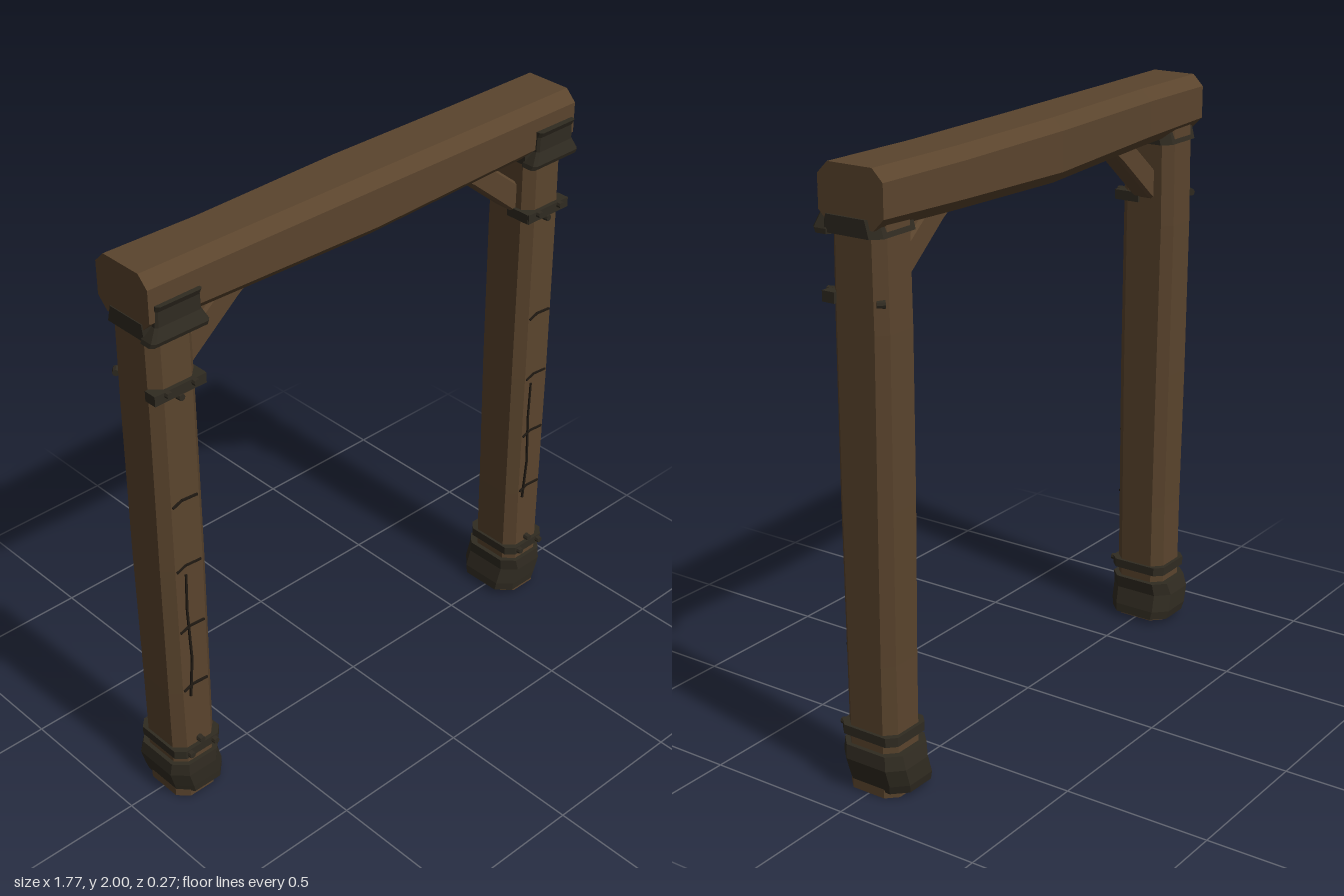
import * as THREE from 'three';

const wood = new THREE.MeshStandardMaterial({ color: 0x5a442d, flatShading: true });
wood.name = 'wood';
const iron = new THREE.MeshStandardMaterial({ color: 0x302b21, flatShading: true });
iron.name = 'darkIron';
const crackDark = new THREE.MeshStandardMaterial({ color: 0x1f1912 });
crackDark.name = 'crackDark';

// Chamfered bar lofted along y; each section is [y, xMin, xMax, zMin, zMax, chamfer]
function loft(sections) {
  const rings = sections.map(([y, x0, x1, z0, z1, c]) => [
    [x1, z0 + c], [x1, z1 - c], [x1 - c, z1], [x0 + c, z1],
    [x0, z1 - c], [x0, z0 + c], [x0 + c, z0], [x1 - c, z0],
  ].map(([x, z]) => [x, y, z]));
  const pos = [];
  const tri = (...pts) => pts.forEach((p) => pos.push(...p));
  for (let r = 0; r < rings.length - 1; r++) {
    const lo = rings[r], hi = rings[r + 1];
    for (let i = 0; i < 8; i++) {
      const j = (i + 1) % 8;
      tri(lo[i], hi[i], hi[j]);
      tri(lo[i], hi[j], lo[j]);
    }
  }
  const bottom = rings[0], top = rings[rings.length - 1];
  for (let i = 1; i < 7; i++) {
    tri(bottom[0], bottom[i], bottom[i + 1]);
    tri(top[0], top[i + 1], top[i]);
  }
  const g = new THREE.BufferGeometry();
  g.setAttribute('position', new THREE.Float32BufferAttribute(pos, 3));
  g.computeVertexNormals();
  return g;
}

function add(parent, name, geometry, material, x = 0, y = 0, z = 0) {
  const m = new THREE.Mesh(geometry, material);
  m.name = name;
  m.position.set(x, y, z);
  parent.add(m);
  return m;
}

// Thin dark line between two points on the front of a post
function crack(parent, x0, y0, x1, y1) {
  const len = Math.hypot(x1 - x0, y1 - y0);
  const m = add(parent, 'crack', new THREE.BoxGeometry(len, 0.007, 0.009), crackDark,
    (x0 + x1) / 2, (y0 + y1) / 2, 0.1);
  m.rotation.z = Math.atan2(y1 - y0, x1 - x0);
}

function bolt(parent, x, y, z, turn = 0) {
  const g = new THREE.CylinderGeometry(0.011, 0.013, 0.025, 8).rotateX(Math.PI / 2);
  add(parent, 'bolt', g, iron, x, y, z).rotation.y = turn;
}

// One post with its ironwork; s is +1 for the left side, -1 for the right
function makePost(s) {
  const post = new THREE.Group();
  post.name = s > 0 ? 'leftPost' : 'rightPost';
  post.position.x = s * 0.78;

  add(post, 'postTimber', loft([
    [0, -0.083, 0.083, -0.095, 0.098, 0.035],
    [0.45, -0.086, 0.084, -0.094, 0.098, 0.033],
    [0.95, -0.088, 0.086, -0.1, 0.1, 0.033],
    [1.5, -0.084, 0.086, -0.105, 0.097, 0.032],
    [1.85, -0.084, 0.084, -0.1, 0.094, 0.032],
  ]), wood);

  // Bulging iron shoe around the foot
  const shoe = [
    [0.02, -0.08, 0.115, -0.125, 0.108, 0.045],
    [0.05, -0.088, 0.112, -0.132, 0.112, 0.045],
    [0.11, -0.105, 0.095, -0.13, 0.115, 0.045],
    [0.155, -0.098, 0.1, -0.118, 0.112, 0.04],
  ].map(([y, a, b, ...rest]) => (s > 0 ? [y, -b, -a, ...rest] : [y, a, b, ...rest]));
  add(post, 'footShoe', loft(shoe), iron);

  // Lower band all around, upper strap across the front
  add(post, 'lowerBand', loft([
    [0.187, -0.094, 0.094, -0.107, 0.112, 0.028],
    [0.218, -0.094, 0.094, -0.107, 0.112, 0.028],
  ]), iron);
  add(post, 'upperStrap', new THREE.BoxGeometry(0.19, 0.034, 0.045), iron, 0, 1.592, 0.088);
  add(post, 'innerStrap', new THREE.BoxGeometry(0.025, 0.034, 0.09), iron, -s * 0.084, 1.592, 0.06);
  for (const [x, y, z] of [[-0.05, 1.6, 0.112], [0.05, 1.6, 0.112], [0, 1.567, 0.103],
    [-0.05, 0.203, 0.114], [0.05, 0.203, 0.114], [0, 0.234, 0.105]]) bolt(post, x, y, z);
  bolt(post, s * 0.076, 1.595, -0.092, Math.PI / 4 * s);

  // Collar under the beam and flared plate on its front
  add(post, 'topCollar', loft([
    [1.785, -0.102, 0.102, -0.105, 0.12, 0.03],
    [1.84, -0.103, 0.103, -0.09, 0.11, 0.03],
  ]), iron);
  add(post, 'frontPlate', loft([
    [1.78, -0.108, 0.105, 0.07, 0.128, 0.01],
    [1.795, -0.105, 0.105, 0.07, 0.134, 0.01],
    [1.835, -0.082, 0.085, 0.09, 0.122, 0.008],
    [1.885, -0.08, 0.083, 0.09, 0.122, 0.008],
    [1.905, -0.08, 0.083, 0.09, 0.132, 0.008],
  ]), iron);

  // Weathering cracks on the front face
  for (const y of [1.195, 0.95, 0.71, 0.47]) {
    crack(post, -0.05, y - 0.008, -0.015, y + 0.005);
    crack(post, -0.015, y + 0.005, 0.045, y);
  }
  const lean = s > 0 ? -0.03 : -0.02;
  crack(post, lean - 0.005, 0.43, lean + 0.008, 0.58);
  crack(post, lean + 0.008, 0.58, lean, 0.78);
  crack(post, lean, 0.78, lean + 0.004, 0.92);
  return post;
}

// Diagonal brace between post and beam
function makeBrace(s) {
  const shape = new THREE.Shape([[0.71, 1.585], [0.71, 1.69], [0.56, 1.81], [0.42, 1.81], [0.49, 1.757], [0.68, 1.6]]
    .map(([x, y]) => new THREE.Vector2(s * x, y)));
  const g = new THREE.ExtrudeGeometry(shape, {
    depth: 0.06, bevelEnabled: true, bevelThickness: 0.01, bevelSize: 0.008, bevelOffset: -0.008, bevelSegments: 1,
  });
  const m = new THREE.Mesh(g, wood);
  m.name = s > 0 ? 'leftBrace' : 'rightBrace';
  m.position.z = -0.03;
  return m;
}

export function createModel() {
  const gate = new THREE.Group();
  gate.name = 'timberGateway';

  // Slightly sagging cross beam: [x, yMin, yMax, zMin, zMax]
  const beam = loft([
    [-0.88, 1.815, 2.0, -0.116, 0.116],
    [-0.55, 1.803, 1.997, -0.112, 0.112],
    [0, 1.786, 1.992, -0.132, 0.108],
    [0.5, 1.798, 1.988, -0.13, 0.107],
    [0.876, 1.81, 1.99, -0.125, 0.112],
  ].map(([x, y0, y1, z0, z1]) => [x, -y1, -y0, z0, z1, 0.038]));
  add(gate, 'crossBeam', beam.rotateZ(-Math.PI / 2), wood);

  for (const s of [-1, 1]) gate.add(makePost(s), makeBrace(s));
  return gate;
}
